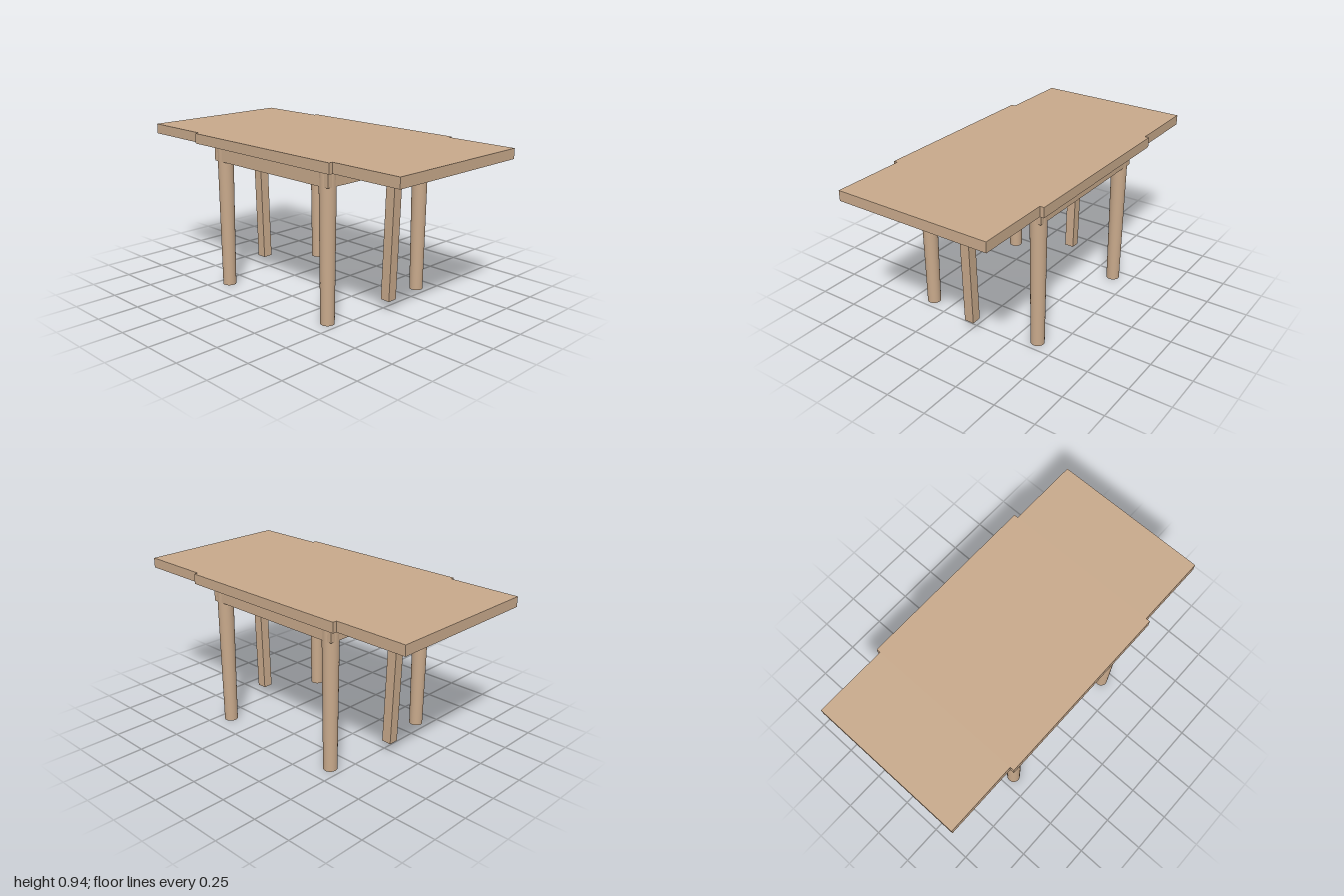
import * as THREE from 'three';

export function createModel() {
  const group = new THREE.Group();
  group.name = 'extendingTable';
  const wood = new THREE.MeshStandardMaterial({ color: 0xc9aa8c });
  wood.name = 'light wood';

  const add = (name, geometry, x, y, z) => {
    const mesh = new THREE.Mesh(geometry, wood);
    mesh.name = name;
    mesh.position.set(x, y, z);
    group.add(mesh);
    return mesh;
  };
  const box = (name, w, h, d, x, y, z) => add(name, new THREE.BoxGeometry(w, h, d), x, y, z);

  // Main top
  box('centreTop', 1.12, 0.06, 1, 0, 0.909, 0);

  for (const s of [-1, 1]) {
    const side = s > 0 ? 'left' : 'right';

    // Drop leaf level with the main top
    box(side + 'Leaf', 0.44, 0.06, 0.95, s * 0.78, 0.909, 0);

    // Rails of the frame
    box(side + 'SideRail', 0.03, 0.101, 0.85, s * 0.46, 0.829, 0);
    box(s > 0 ? 'frontRail' : 'backRail', 0.92, 0.101, 0.03, 0, 0.829, s * 0.41);

    // Slanted swing leg under the leaf
    const swing = box(side + 'SwingLeg', 0.06, 0.8, 0.06, s * 0.551, 0.465, 0);
    swing.rotation.z = -s * 0.034;

    for (const t of [-1, 1]) {
      const end = t > 0 ? 'Front' : 'Back';
      // Tapered round leg
      add(side + end + 'Leg', new THREE.CylinderGeometry(0.048, 0.04, 0.879, 32),
        s * 0.43, 0.4395, t * 0.381);
      // Hinge plate across the leaf joint
      box(side + end + 'Hinge', 0.02, 0.008, 0.125, s * 0.565, 0.875, t * 0.3125);
    }
  }
  return group;
}
